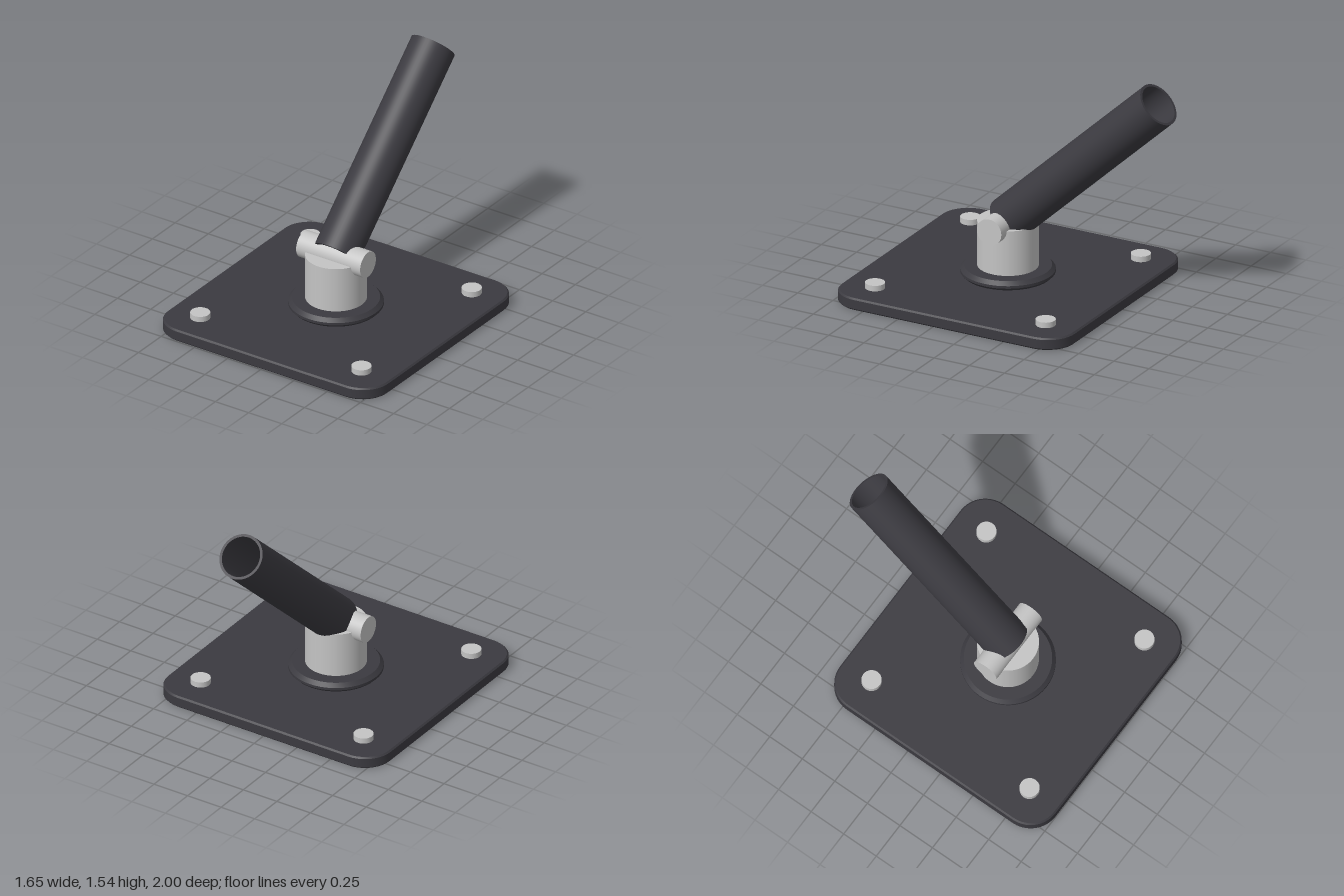
import * as THREE from 'three';
import { toCreasedNormals } from 'three/addons/utils/BufferGeometryUtils.js';

const CENTRE_Z = 0.172;

export function createModel() {
  const model = new THREE.Group();
  model.name = 'tiltedTubeMount';
  const dark = new THREE.MeshStandardMaterial({ color: 0x3b3a40 });
  dark.name = 'charcoal';
  const silver = new THREE.MeshStandardMaterial({ color: 0xc4c4c4 });
  silver.name = 'silver';

  const add = (name, geometry, material, x, y, z) => {
    const mesh = new THREE.Mesh(geometry, material);
    mesh.name = name;
    mesh.position.set(x, y, z);
    model.add(mesh);
    return mesh;
  };
  const lathe = (points) => toCreasedNormals(
    new THREE.LatheGeometry(points.map(([r, y]) => new THREE.Vector2(r, y)), 48), 0.5);

  // Base plate with rounded corners and a small edge bevel
  const bevel = 0.01, h = 0.827 - bevel, r = 0.18;
  const outline = new THREE.Shape();
  outline.moveTo(h, -h + r);
  outline.absarc(h - r, h - r, r, 0, Math.PI / 2);
  outline.absarc(-h + r, h - r, r, Math.PI / 2, Math.PI);
  outline.absarc(-h + r, -h + r, r, Math.PI, Math.PI * 1.5);
  outline.absarc(h - r, -h + r, r, Math.PI * 1.5, Math.PI * 2);
  const plate = new THREE.ExtrudeGeometry(outline, {
    depth: 0.06, bevelThickness: bevel, bevelSize: bevel, bevelSegments: 1, curveSegments: 5,
  });
  plate.rotateX(-Math.PI / 2);
  add('basePlate', toCreasedNormals(plate, 0.5), dark, 0, bevel, CENTRE_Z);

  // Corner bolts
  const bolt = new THREE.CylinderGeometry(0.063, 0.063, 0.045, 32);
  for (const x of [-0.607, 0.607]) {
    for (const z of [-0.607, 0.607]) add('bolt', bolt, silver, x, 0.0945, CENTRE_Z + z);
  }

  // Flange with chamfered rim
  add('flange', lathe([
    [0, 0], [0.28, 0], [0.298, 0.018], [0.298, 0.035], [0.275, 0.06], [0, 0.06],
  ]), dark, 0, 0.08, CENTRE_Z);

  // Post and hinge pin
  add('post', new THREE.CylinderGeometry(0.193, 0.193, 0.3, 48), silver, 0, 0.29, CENTRE_Z);
  const pin = new THREE.CylinderGeometry(0.087, 0.087, 0.482, 40);
  pin.rotateZ(Math.PI / 2);
  add('hingePin', pin, silver, 0, 0.441, CENTRE_Z);

  // Hollow tube leaning backwards from the hinge
  const tube = add('tube', lathe([
    [0.147, 0], [0.147, 1.458], [0.13, 1.458], [0.13, 0], [0.147, 0],
  ]), dark, 0, 0.442, CENTRE_Z);
  tube.rotation.x = -0.824;

  return model;
}
